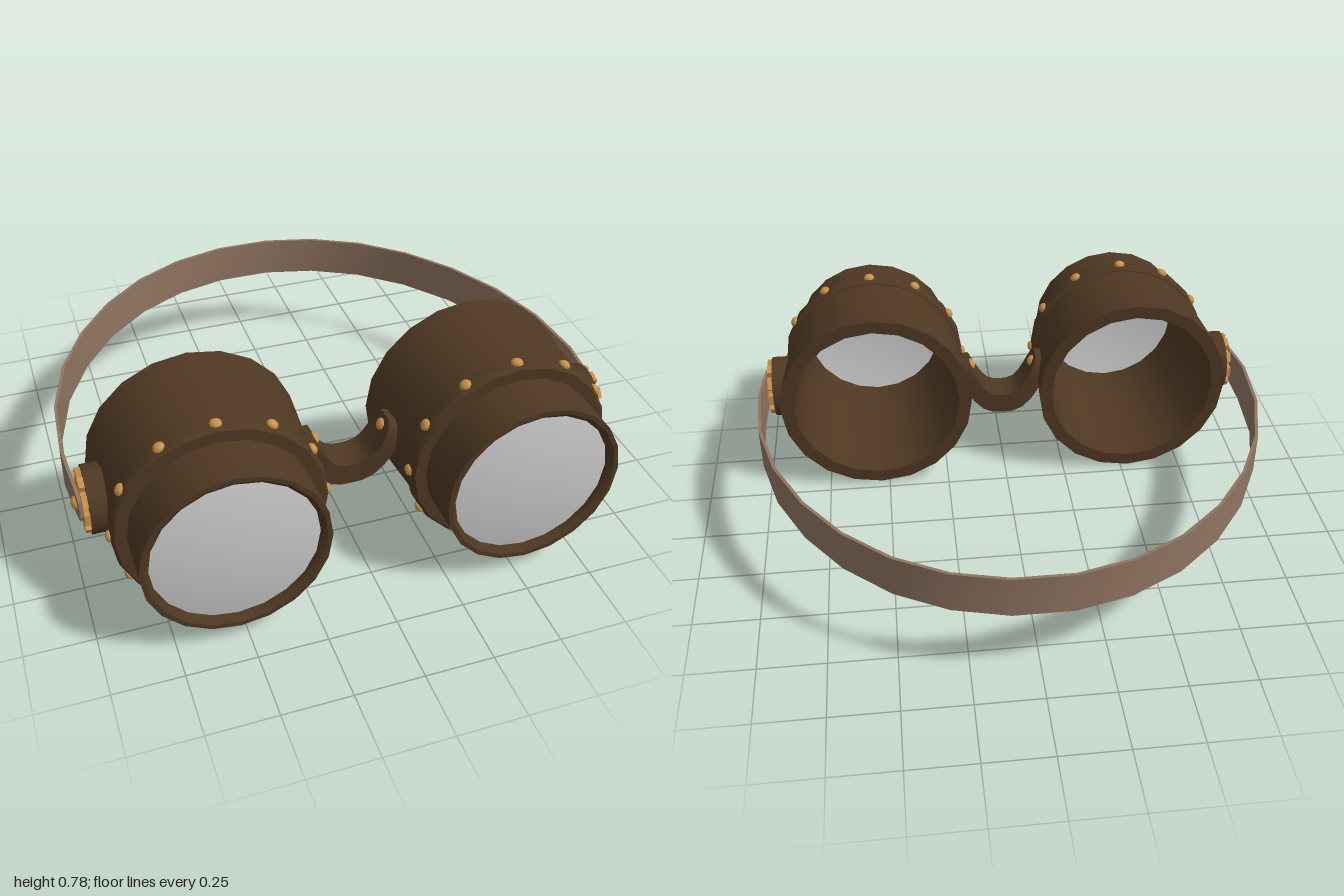
import * as THREE from 'three';
import { toCreasedNormals } from 'three/addons/utils/BufferGeometryUtils.js';

const SIDES = 20, CX = 0.53, CY = 0.395, DISC_Z = 0.48;
const mat = (color, extra = {}) => new THREE.MeshStandardMaterial({ color, ...extra });
const leather = mat(0x4e3822), strapLeather = mat(0x8f7460), brass = mat(0xc8924a);
const glass = mat(0xcccccc, { side: THREE.DoubleSide });

function add(parent, name, geometry, material) {
  const mesh = new THREE.Mesh(geometry, material);
  mesh.name = name;
  parent.add(mesh);
  return mesh;
}

// Profile of [radius, z] revolved about the z axis
function revolve(profile) {
  const pts = profile.map(([r, z]) => new THREE.Vector2(r, z));
  return toCreasedNormals(new THREE.LatheGeometry(pts, SIDES).rotateX(Math.PI / 2), 0.6);
}

// Box whose vertices are moved to rule(station, v, w), with v and w = -1 or 1
function bentBox(steps, rule) {
  const g = new THREE.BoxGeometry(1, 1, 1, steps, 1, 1);
  const p = g.attributes.position;
  for (let i = 0; i < p.count; i++) {
    const k = Math.round((p.getX(i) + 0.5) * steps);
    p.setXYZ(i, ...rule(k, Math.sign(p.getY(i)), Math.sign(p.getZ(i))));
  }
  g.computeVertexNormals();
  return g;
}

// Domed stud facing along a direction
function rivet(parent, pos, dir, r = 0.022) {
  const g = new THREE.SphereGeometry(r, 10, 6).scale(1, 0.7, 1);
  const m = add(parent, 'rivet', g, brass);
  m.position.set(...pos);
  m.quaternion.setFromUnitVectors(new THREE.Vector3(0, 1, 0), new THREE.Vector3(...dir).normalize());
}

function eyeCup(s) {
  const cup = new THREE.Group();
  cup.name = s > 0 ? 'leftEyeCup' : 'rightEyeCup';
  cup.position.set(s * CX, CY, 0);
  // hollow shell with a narrower front barrel
  add(cup, 'cupShell', revolve([
    [0.39, 0.29], [0.363, 0.66], [0.325, 0.7], [0.325, 0.905], [0.308, 0.905],
    [0.292, 0.892], [0.29, 0.86], [0.31, 0.65], [0.338, 0.29], [0.39, 0.29],
  ]), leather);
  // raised band with twelve studs
  add(cup, 'rivetBand', revolve([
    [0.34, 0.65], [0.367, 0.65], [0.376, 0.66], [0.379, 0.684], [0.376, 0.707], [0.367, 0.717], [0.32, 0.717],
  ]), leather);
  for (let i = 0; i < 12; i++) {
    const a = i * Math.PI / 6, c = Math.cos(a), n = Math.sin(a);
    rivet(cup, [c * 0.376, n * 0.376, 0.684], [c, n, 0]);
  }
  // slightly domed lens
  const R = 1.69, lens = new THREE.SphereGeometry(R, SIDES, 5, 0, Math.PI * 2, 0, Math.asin(0.294 / R));
  add(cup, 'lens', lens.rotateX(Math.PI / 2), glass).position.z = 0.9 - R;
  return cup;
}

// Cog outline with square teeth
function cogGeometry() {
  const teeth = 10, shape = new THREE.Shape();
  for (let i = 0; i < teeth; i++) {
    [[-0.3, 0.113], [0.3, 0.113], [0.4, 0.088], [0.6, 0.088]].forEach(([f, r], j) => {
      const a = (i + f) / teeth * Math.PI * 2;
      shape[i + j ? 'lineTo' : 'moveTo'](r * Math.cos(a), r * Math.sin(a));
    });
  }
  shape.closePath();
  return new THREE.ExtrudeGeometry(shape, { depth: 0.022, bevelEnabled: false });
}

function sideMount(s) {
  const mount = new THREE.Group();
  mount.name = s > 0 ? 'leftStrapMount' : 'rightStrapMount';
  mount.position.set(0, CY, DISC_Z);
  const washer = add(mount, 'washer', new THREE.CylinderGeometry(0.122, 0.122, 0.085, 24).rotateZ(Math.PI / 2), leather);
  washer.position.x = s * 0.908;
  const cog = add(mount, 'cog', cogGeometry(), brass);
  cog.rotation.y = s * Math.PI / 2;
  cog.position.x = s * 0.948;
  rivet(mount, [s * 0.984, 0, 0.005], [s, 0, 0], 0.026);
  return mount;
}

// Head strap: [x, z, half height] stations from the left end to the middle, then mirrored
function strapGeometry() {
  const half = [
    [0.974, 0.532, 0.035], [0.976, 0.522, 0.053], [0.978, 0.5, 0.062], [0.988, 0.385, 0.071],
    [0.994, 0.285, 0.08], [0.976, 0.035, 0.08], [0.91, -0.205, 0.08], [0.802, -0.42, 0.08],
    [0.665, -0.602, 0.08], [0.497, -0.75, 0.08], [0.308, -0.85, 0.08], [0.108, -0.9, 0.08],
  ];
  const path = [...half.map(([x, z, h]) => [-x, z, h]), ...half.slice().reverse()];
  const last = path.length - 1;
  return bentBox(last, (k, v, w) => {
    const a = path[Math.max(k - 1, 0)], b = path[Math.min(k + 1, last)], [x, z, h] = path[k];
    const dx = b[0] - a[0], dz = b[1] - a[1], t = 0.006 * w / Math.hypot(dx, dz);
    return [x - dz * t, CY + v * h, z + dx * t];
  });
}

// Nose bridge: U-shaped strip, [lower x, lower y, upper x, upper y, half width]
function bridgeGeometry() {
  const half = [
    [0.172, 0.482, 0.142, 0.488, 0.035], [0.172, 0.465, 0.134, 0.468, 0.058], [0.17, 0.42, 0.118, 0.432, 0.068],
    [0.155, 0.36, 0.1, 0.4, 0.068], [0.122, 0.308, 0.078, 0.367, 0.067],
    [0.083, 0.269, 0.055, 0.346, 0.067], [0.042, 0.252, 0.028, 0.337, 0.067],
  ];
  const path = [...half.map(([a, b, c, d, w]) => [-a, b, -c, d, w]), [0, 0.25, 0, 0.335, 0.067], ...half.slice().reverse()];
  return bentBox(path.length - 1, (k, v, w) => {
    const [lx, ly, ux, uy, hw] = path[k];
    const z = 0.462 + 0.013 * Math.min(1, Math.abs(lx) / 0.17) ** 2 + w * hw;
    return v > 0 ? [ux, uy, z] : [lx, ly, z];
  });
}

export function createModel() {
  const model = new THREE.Group();
  model.name = 'goggles';
  const bridge = new THREE.Group();
  bridge.name = 'noseBridge';
  add(bridge, 'bridgeStrip', bridgeGeometry(), leather);
  model.add(bridge);
  for (const s of [-1, 1]) {
    model.add(eyeCup(s), sideMount(s));
    rivet(bridge, [s * 0.128, 0.45, 0.475], [-s, 0.45, 0], 0.024);
  }
  add(model, 'headStrap', strapGeometry(), strapLeather);
  return model;
}
